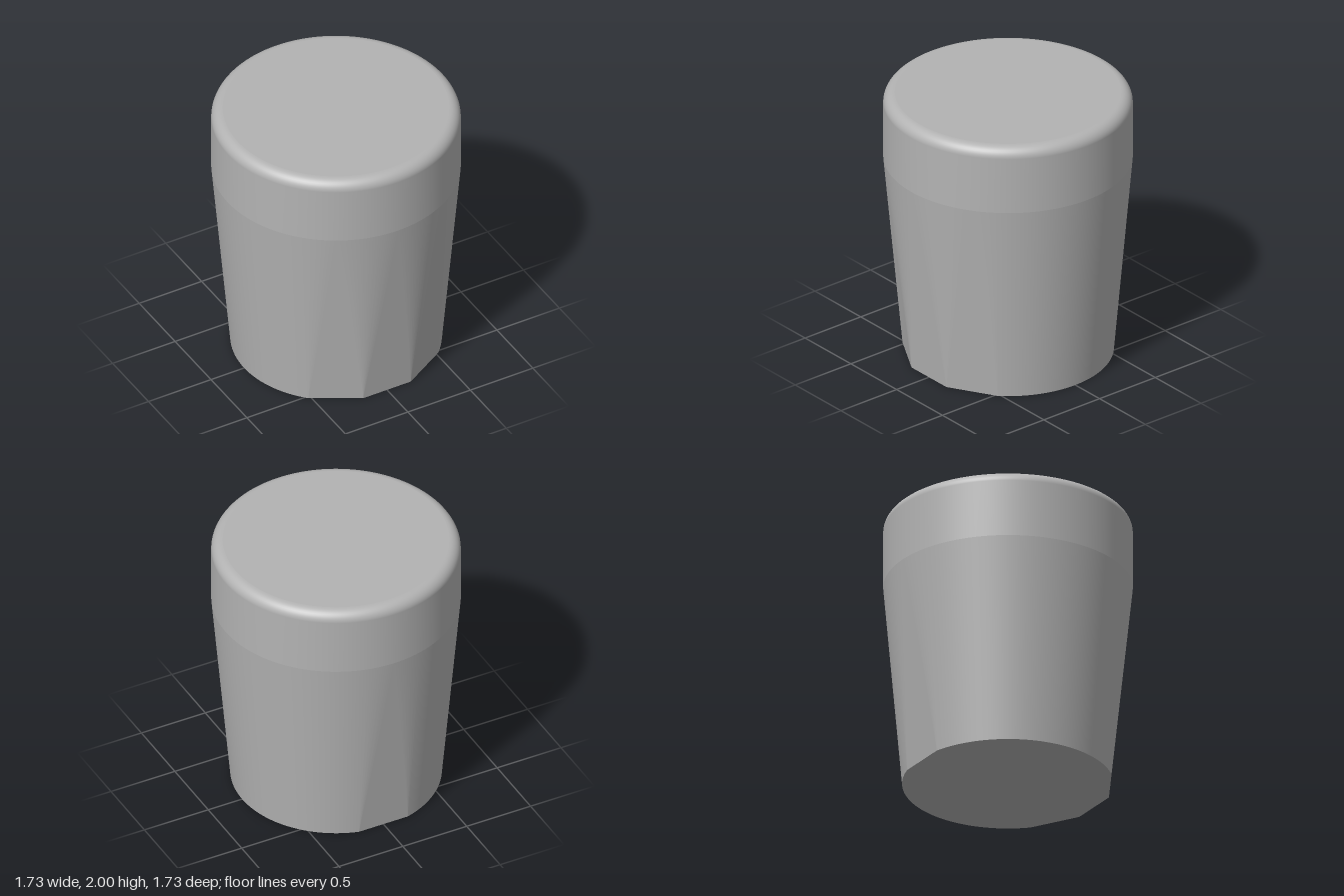
import * as THREE from 'three';

const TOP_R = 0.866, BASE_R = 0.735, SHOULDER = 1.5, HEIGHT = 2, FILLET = 0.08;
const STEP = 3;
// corners (degrees from +z) of the flats cut into the round base
const FLATS = [[-45, -15, 15, 45], [165, 195]];
const rad = THREE.MathUtils.degToRad;

// base angles touched by a side plane facing angle t: one on the round parts, two at a flat
function baseAngles(t) {
  for (const c of FLATS) {
    if (t < c[0] || t > c[c.length - 1]) continue;
    const nearest = Math.min(...c.map((a) => Math.abs(a - t)));
    return c.filter((a) => Math.abs(a - t) === nearest);
  }
  return [t];
}

// tapered wall between the faceted base and the round shoulder
function taperGeometry() {
  const pos = [], nor = [], idx = [], base = [];
  for (let t = -60; t <= 300; t += STEP) {
    for (const b of baseAngles(t)) {
      const a = rad(t), p = rad(b);
      const slope = (TOP_R - BASE_R * Math.cos(p - a)) / SHOULDER;
      const n = new THREE.Vector3(Math.sin(a), -slope, Math.cos(a)).normalize();
      pos.push(BASE_R * Math.sin(p), 0, BASE_R * Math.cos(p));
      pos.push(TOP_R * Math.sin(a), SHOULDER, TOP_R * Math.cos(a));
      nor.push(n.x, n.y, n.z, n.x, n.y, n.z);
      base.push(p);
    }
  }
  for (let i = 0; i < base.length - 1; i++) {
    const k = i * 2;
    idx.push(k, k + 2, k + 3, k, k + 3, k + 1);
  }
  const g = new THREE.BufferGeometry();
  g.setAttribute('position', new THREE.Float32BufferAttribute(pos, 3));
  g.setAttribute('normal', new THREE.Float32BufferAttribute(nor, 3));
  g.setIndex(idx);
  return { geometry: g, base };
}

export function createModel() {
  const model = new THREE.Group();
  model.name = 'taperedStopper';
  const grey = new THREE.MeshStandardMaterial({ color: 0xb3b3b3 });
  grey.name = 'grey';
  const add = (name, geometry) => {
    const mesh = new THREE.Mesh(geometry, grey);
    mesh.name = name;
    model.add(mesh);
    return mesh;
  };

  const { geometry, base } = taperGeometry();
  add('taperedWall', geometry);

  // underside follows the faceted base outline
  const outline = base
    .filter((p, i) => i > 0 && p !== base[i - 1])
    .map((p) => new THREE.Vector2(BASE_R * Math.sin(p), -BASE_R * Math.cos(p)));
  const under = new THREE.ShapeGeometry(new THREE.Shape(outline));
  under.rotateX(Math.PI / 2).scale(1, 1, -1);
  // the mirror reverses the corners, so turn the faces downward again
  const ix = under.index;
  for (let i = 0; i < ix.count; i += 3) {
    const b = ix.getX(i + 1);
    ix.setX(i + 1, ix.getX(i + 2));
    ix.setX(i + 2, b);
  }
  under.computeVertexNormals();
  add('underside', under);

  // straight collar with a rounded upper rim
  const profile = [new THREE.Vector2(TOP_R, SHOULDER)];
  for (let i = 0; i <= 10; i++) {
    const a = (i / 10) * Math.PI / 2;
    profile.push(new THREE.Vector2(
      TOP_R - FILLET + FILLET * Math.cos(a), HEIGHT - FILLET + FILLET * Math.sin(a)));
  }
  add('collar', new THREE.LatheGeometry(profile, 120));

  // flat top
  const top = new THREE.CircleGeometry(TOP_R - FILLET, 120);
  top.rotateX(-Math.PI / 2).translate(0, HEIGHT, 0);
  add('topFace', top);
  return model;
}
